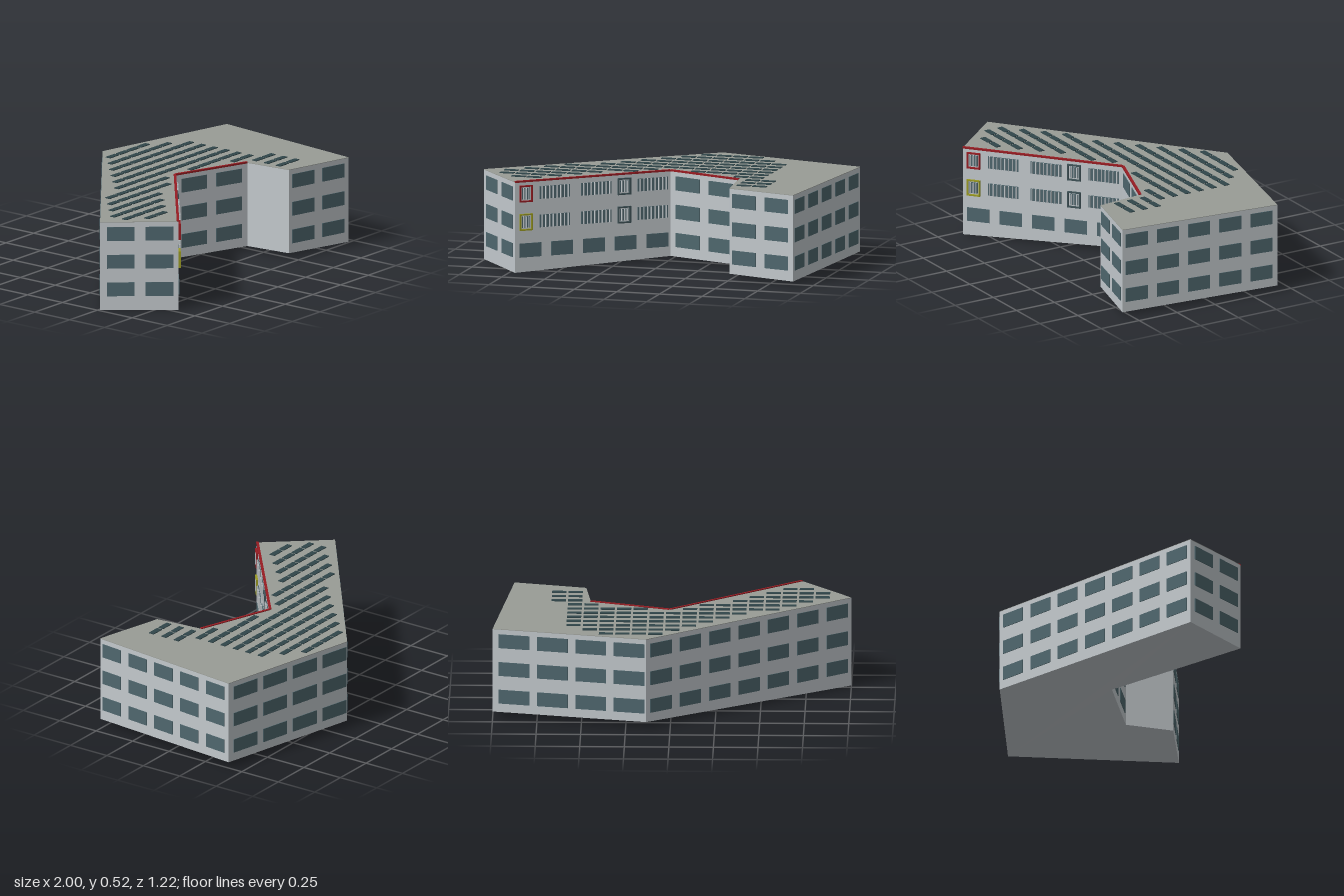
import * as THREE from 'three';

const mat = (name, color) => {
  const m = new THREE.MeshStandardMaterial({ color });
  m.name = name;
  return m;
};

// Footprint corners: x, z and height of the sloping base
const CORNERS = [
  [-1, 0.27, 0.005], [-0.715, 0.607, 0], [0.015, 0.005, 0.03], [0.46, 0.165, 0.03],
  [0.49, 0.44, 0.03], [0.895, 0.545, 0.025], [1, -0.41, 0.035], [0.135, -0.613, 0.035],
];
const ROOF_Y = 0.518;
const ROWS = [0.125, 0.286, 0.448];
const WINDOW_H = 0.08;

export function createModel() {
  const wall = mat('wall', 0xc3c9cd);
  const roofMat = mat('roof', 0x999c96);
  const glass = mat('windowGlass', 0x4f676e);
  const solar = mat('roofPanel', 0x30464a);
  const red = mat('redTrim', 0x981c22);
  const olive = mat('oliveTrim', 0x9a9a22);
  const slate = mat('slateTrim', 0x3f5358);

  const model = new THREE.Group();
  model.name = 'building';

  const box = (parent, name, material, size, pos) => {
    const m = new THREE.Mesh(new THREE.BoxGeometry(...size), material);
    m.name = name;
    m.position.set(...pos);
    parent.add(m);
    return m;
  };

  // Footprint raised into a prism
  const shape = new THREE.Shape(CORNERS.map(([x, z]) => new THREE.Vector2(x, -z)));
  const prism = (depth) =>
    new THREE.ExtrudeGeometry(shape, { depth, bevelEnabled: false }).rotateX(-Math.PI / 2);

  // Walls, with the base following the sloping ground
  const bodyGeo = prism(ROOF_Y - 0.003);
  const p = bodyGeo.attributes.position;
  for (let i = 0; i < p.count; i++) {
    if (p.getY(i) > 0.1) continue;
    const c = CORNERS.find(([x, z]) => Math.hypot(x - p.getX(i), z - p.getZ(i)) < 0.001);
    p.setY(i, c[2]);
  }
  bodyGeo.computeVertexNormals();
  const body = new THREE.Mesh(bodyGeo, wall);
  body.name = 'walls';
  model.add(body);

  const roof = new THREE.Mesh(prism(0.003), roofMat);
  roof.name = 'roof';
  roof.position.y = ROOF_Y - 0.003;
  model.add(roof);

  // A group whose x runs along one wall and whose z points outwards
  const facade = (i, name) => {
    const [ax, az] = CORNERS[i];
    const [bx, bz] = CORNERS[(i + 1) % CORNERS.length];
    const g = new THREE.Group();
    g.name = name;
    g.position.set(ax, 0, az);
    g.rotation.y = Math.atan2(az - bz, bx - ax);
    g.userData.length = Math.hypot(bx - ax, bz - az);
    model.add(g);
    return g;
  };

  // Row of equal windows; start, pitch and width are fractions of the wall
  const windowRow = (g, y, start, pitch, width, count) => {
    const L = g.userData.length;
    for (let k = 0; k < count; k++) {
      box(g, 'window', glass, [width * L, WINDOW_H, 0.006],
        [(start + k * pitch + width / 2) * L, y, 0.001]);
    }
  };

  const PLAIN = [
    [0, 'leftEndWall', 0.085, 0.495, 0.355, 2],
    [2, 'courtyardWall', 0.08, 0.485, 0.355, 2],
    [4, 'wingEndWall', 0.05, 0.505, 0.37, 2],
    [5, 'rightWall', 0.02, 0.2015, 0.141, 5],
    [6, 'backRightWall', 0.04, 0.25, 0.2, 4],
    [7, 'backLeftWall', 0.02, 0.143, 0.103, 7],
  ];
  for (const [i, name, ...spec] of PLAIN) {
    const g = facade(i, name);
    for (const y of ROWS) windowRow(g, y, ...spec);
  }

  // Main front: plain ground floor, louvred and framed windows above
  const front = facade(1, 'mainFrontWall');
  const L = front.userData.length;
  windowRow(front, ROWS[0], 0.027, 0.204, 0.14, 5);

  const louvred = (a, b, y, h, fins) => {
    const w = (b - a) * L;
    box(front, 'window', glass, [w, h, 0.006], [(a + b) / 2 * L, y, 0.001]);
    for (let k = 0; k < fins; k++) {
      box(front, 'louvreFin', wall, [0.004, h, 0.012],
        [a * L + (k + 0.5) * w / fins, y, 0.008]);
    }
  };

  const framed = (a, b, y, material) => {
    const w = (b - a) * L, h = 0.095, t = 0.008, cx = (a + b) / 2 * L;
    for (const s of [-1, 1]) {
      box(front, 'windowFrame', material, [t, h, 0.014], [cx + s * (w - t) / 2, y, 0.005]);
      box(front, 'windowFrame', material, [w, t, 0.014], [cx, y + s * (h - t) / 2, 0.005]);
    }
    const inset = 0.015 / L;
    louvred(a + inset, b - inset, y, h - 0.03, 3);
  };

  [[ROWS[1], olive], [ROWS[2], red]].forEach(([y, trim]) => {
    framed(0.027, 0.11, y, trim);
    framed(0.658, 0.742, y, slate);
    for (const a of [0.158, 0.425, 0.788]) louvred(a, a + 0.192, y, 0.072, 8);
  });

  // Red coping along the courtyard edges of the roof
  for (const i of [1, 2]) {
    const g = facade(i, 'roofCoping');
    const len = g.userData.length;
    box(g, 'coping', red, [len, 0.01, 0.014], [len / 2, ROOF_Y, -0.004]);
  }

  // Roof panels: for each row, ranges of columns
  const PANELS = [
    [[0, 3]], [[-1, 4]], [[-2, 5]], [[-3, 5]], [[-4, 5]], [[-5, 5]],
    [[-7, -2], [1, 5]], [[-8, -3], [4, 5]], [[-9, -5], [5, 6]],
    [[-10, -6], [5, 6]], [[-10, -7], [5, 6]], [[-9, -8]],
  ];
  const panels = new THREE.Group();
  panels.name = 'roofPanels';
  model.add(panels);
  PANELS.forEach((ranges, r) => {
    for (const [from, to] of ranges) {
      for (let k = from; k <= to; k++) {
        box(panels, 'roofPanel', solar, [0.08, 0.006, 0.033],
          [0.085 + 0.0925 * k, ROOF_Y + 0.001, -0.503 + 0.085 * r]);
      }
    }
  });

  return model;
}
